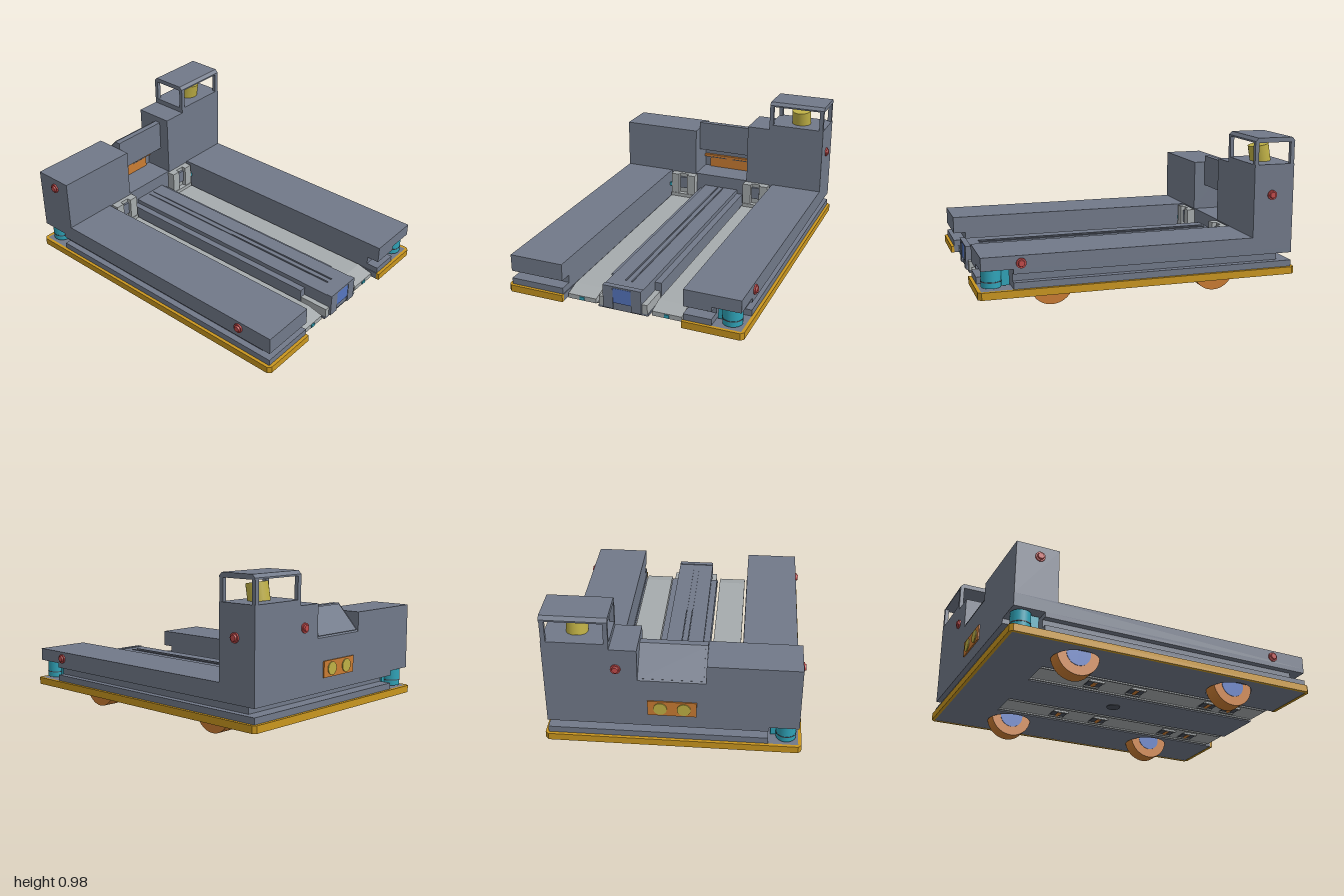
import * as THREE from 'three';

const mat = (name, color) => Object.assign(new THREE.MeshStandardMaterial({ color }), { name });

export function createModel() {
  const root = new THREE.Group();
  root.name = 'automatedPalletTruck';
  const body = mat('slate grey', 0x717989);
  const light = mat('light grey', 0xa6abad);
  const bumper = mat('bumper yellow', 0xc9961f);
  const orange = mat('orange', 0xca7c33);
  const blue = mat('blue', 0x5676c0);
  const cyan = mat('cyan', 0x2fa3b8);
  const red = mat('red', 0xc24a4a);
  const lamp = mat('lamp yellow', 0xbfb045);
  const dark = mat('dark grey', 0x4a505b);

  const add = (name, geo, m, parent = root) => {
    const mesh = new THREE.Mesh(geo, m);
    mesh.name = name;
    parent.add(mesh);
    return mesh;
  };
  // Box given by its limits on each axis
  const box = (name, m, x0, x1, y0, y1, z0, z1) => {
    const b = add(name, new THREE.BoxGeometry(x1 - x0, y1 - y0, z1 - z0), m);
    b.position.set((x0 + x1) / 2, (y0 + y1) / 2, (z0 + z1) / 2);
    return b;
  };
  // Horizontal slab from an [x, z] outline, with optional round holes [x, z, r]
  const slab = (name, m, pts, y0, y1, holes = []) => {
    const s = new THREE.Shape(pts.map(([x, z]) => new THREE.Vector2(x, -z)));
    for (const [x, z, r] of holes) s.holes.push(new THREE.Path().absarc(x, -z, r, 0, Math.PI * 2));
    const g = new THREE.ExtrudeGeometry(s, { depth: y1 - y0, bevelEnabled: false, curveSegments: 24 });
    g.rotateX(-Math.PI / 2);
    const mesh = add(name, g, m);
    mesh.position.y = y0;
    return mesh;
  };
  // Prism from a side profile of [z, y] points, running along x
  const prism = (name, m, pts, x0, x1) => {
    const s = new THREE.Shape(pts.map(([z, y]) => new THREE.Vector2(-z, y)));
    const g = new THREE.ExtrudeGeometry(s, { depth: x1 - x0, bevelEnabled: false });
    g.rotateY(Math.PI / 2);
    const mesh = add(name, g, m);
    mesh.position.x = x0;
    return mesh;
  };
  // U-shaped footprint, open at the front, with optional scanner notches
  const footprint = (w, front, back, notch, ix = 0.395, iz = -0.72) => [
    ...(notch ? [[-0.57, back], [-0.57, -0.79], [-w, -0.79]] : [[-w, back]]),
    [-w, front], [-ix, front], [-ix, iz], [ix, iz], [ix, front],
    ...(notch ? [[0.57, front], [0.57, 0.79], [w, 0.79]] : [[w, front]]),
    [w, back],
  ];

  // Chassis plate with wheel openings
  const wheels = [];
  for (const x of [-0.555, 0.555]) for (const z of [-0.52, 0.53]) wheels.push([x, z]);
  slab('chassisPlate', body, footprint(0.75, 0.98, -0.98, false, 0.39, -0.66), 0.112, 0.155,
    wheels.map(([x, z]) => [x, z, 0.143]));
  box('centreFloor', body, -0.165, 0.165, 0.112, 0.125, -0.67, 0.96);
  const port = add('floorPort', new THREE.CylinderGeometry(0.045, 0.045, 0.006, 24), dark);
  port.position.y = 0.111;

  // Bumper band around the plate
  slab('bumperBand', bumper, [
    [0.39, 0.98], [0.75, 0.98], [0.75, -0.98], [-0.75, -0.98], [-0.75, 0.98], [-0.39, 0.98],
    [-0.39, 1], [-0.75, 1], [-0.77, 0.98], [-0.77, -0.98], [-0.75, -1],
    [0.75, -1], [0.77, -0.98], [0.77, 0.98], [0.75, 1], [0.39, 1],
  ], 0.11, 0.155);

  // Hull layers with the scanning slot between them
  slab('lowerHull', body, footprint(0.75, 0.98, -0.98, true), 0.155, 0.195);
  slab('slotCore', body, footprint(0.71, 0.9, -0.9, true), 0.195, 0.245);
  slab('upperHull', body, footprint(0.75, 0.98, -0.98, true), 0.245, 0.275);
  slab('hullTop', body, footprint(0.75, 0.98, -0.98, false), 0.275, 0.355);

  // Corner scanners, diagonally opposite
  for (const s of [1, -1]) {
    const scanner = new THREE.Group();
    scanner.name = 'scanner';
    const drum = add('scannerDrum', new THREE.CylinderGeometry(0.06, 0.06, 0.105, 28), cyan, scanner);
    drum.position.set(0.675, 0.2175, 0.91);
    const ring = add('scannerRing', new THREE.CylinderGeometry(0.062, 0.062, 0.006, 28), dark, scanner);
    ring.position.set(0.675, 0.2, 0.91);
    const back = add('scannerMount', new THREE.BoxGeometry(0.1, 0.105, 0.1), cyan, scanner);
    back.position.set(0.633, 0.2175, 0.853);
    scanner.rotation.y = s > 0 ? 0 : Math.PI;
    root.add(scanner);
  }

  // Rear housing
  box('rightHousing', body, -0.75, -0.2, 0.355, 0.69, -0.98, -0.715);
  box('innerTower', body, 0.2, 0.36, 0.355, 0.775, -0.98, -0.715);
  box('tower', body, 0.36, 0.75, 0.355, 0.81, -0.98, -0.715);
  prism('consoleHousing', body, [[-0.98, 0.35], [-0.92, 0.35], [-0.92, 0.525], [-0.79, 0.525],
    [-0.79, 0.735], [-0.83, 0.735], [-0.98, 0.57]].reverse(), -0.2, 0.2);
  const screen = box('consoleScreen', body, -0.185, 0.185, -0.003, 0.003, -0.1, 0.1);
  screen.position.set(0, 0.655, -0.907);
  screen.rotation.x = -Math.atan2(0.165, 0.15);
  box('frontPanel', orange, -0.155, 0.155, 0.355, 0.43, -0.92, -0.905);
  box('frontPanelLip', orange, -0.2, 0.2, 0.43, 0.45, -0.92, -0.9);
  for (const s of [-1, 1]) box('lipSlot', dark, s * 0.085 - 0.06, s * 0.085 + 0.06, 0.428, 0.434, -0.904, -0.899);

  // Rear sign with two lamps
  box('rearSign', orange, -0.145, 0.145, 0.33, 0.43, -0.988, -0.98);
  for (const x of [-0.07, 0.07]) {
    const d = add('rearLamp', new THREE.CylinderGeometry(0.04, 0.04, 0.008, 24), lamp);
    d.rotation.x = Math.PI / 2;
    d.position.set(x, 0.38, -0.99);
  }

  // Lidar cage and tilted sensor drum
  for (const x of [0.36, 0.72]) for (const z of [-0.98, -0.74])
    box('cagePost', body, x, x + 0.027, 0.81, 0.95, z, z + 0.025);
  prism('cageRoof', body, [[-0.98, 0.945], [-0.715, 0.945], [-0.715, 0.955], [-0.735, 0.975],
    [-0.96, 0.975], [-0.98, 0.955]].reverse(), 0.36, 0.75);
  const beacon = add('towerSensor', new THREE.CylinderGeometry(0.065, 0.065, 0.11, 28), lamp);
  beacon.position.set(0.56, 0.858, -0.833);
  beacon.rotation.x = 0.17;

  // Emergency buttons
  const button = (x, y, z, axis) => {
    const g = new THREE.Group();
    g.name = 'stopButton';
    const base = add('buttonBase', new THREE.CylinderGeometry(0.03, 0.03, 0.01, 24), red, g);
    base.position.y = 0.005;
    const cap = add('buttonCap', new THREE.CylinderGeometry(0.018, 0.022, 0.01, 24), red, g);
    cap.position.y = 0.014;
    g.position.set(x, y, z);
    g.quaternion.setFromUnitVectors(new THREE.Vector3(0, 1, 0), axis);
    root.add(g);
  };
  for (const s of [-1, 1]) {
    button(s * 0.75, 0.62, -0.835, new THREE.Vector3(s, 0, 0));
    button(s * 0.75, 0.31, 0.745, new THREE.Vector3(s, 0, 0));
  }
  button(0.325, 0.645, -0.98, new THREE.Vector3(0, 0, -1));

  // Wheels with blue hubs
  for (const [x, z] of wheels) {
    const tyre = add('wheelTyre', new THREE.CylinderGeometry(0.136, 0.136, 0.1, 40), orange);
    const hub = add('wheelHub', new THREE.CylinderGeometry(0.077, 0.077, 0.106, 32), blue);
    for (const w of [tyre, hub]) {
      w.rotation.z = Math.PI / 2;
      w.position.set(x, 0.136, z);
    }
  }

  // Centre beam with side rails and blue end cap
  box('centreBeam', body, -0.125, 0.125, 0.125, 0.27, -0.72, 0.965);
  box('beamEndLip', body, -0.125, 0.125, 0.265, 0.275, 0.94, 0.975);
  box('beamEndCap', blue, -0.06, 0.06, 0.165, 0.262, 0.965, 0.972);
  for (const s of [-1, 1]) {
    box('beamEndFrame', body, s * 0.0925 - 0.0325, s * 0.0925 + 0.0325, 0.125, 0.265, 0.96, 0.975);
    box('sideRail', body, s * 0.145 - 0.022, s * 0.145 + 0.022, 0.125, 0.24, -0.72, 0.77);
    box('beamFoot', light, s * 0.142 - 0.017, s * 0.142 + 0.017, 0.125, 0.185, 0.77, 0.96);
    box('topRib', body, s * 0.02 - 0.004, s * 0.02 + 0.004, 0.27, 0.276, -0.7, 0.87);
  }

  // Forks, lift carriages and rollers
  for (const s of [-1, 1]) {
    const span = (name, m, a, b, ...r) => box(name, m, Math.min(s * a, s * b), Math.max(s * a, s * b), ...r);
    prism('fork', light, [[-0.7, 0.12], [0.95, 0.12], [0.95, 0.15], [0.85, 0.175], [-0.7, 0.175]].reverse(),
      s * 0.28 - 0.095, s * 0.28 + 0.095);
    span('forkTipSensor', cyan, 0.265, 0.295, 0.125, 0.145, 0.95, 0.956);
    span('carriagePlate', light, 0.19, 0.375, 0.175, 0.35, -0.715, -0.69);
    for (const x of [0.19, 0.315]) span('carriagePost', light, x, x + 0.06, 0.19, 0.35, -0.69, -0.66);
    span('carriageFoot', light, 0.19, 0.375, 0.175, 0.2, -0.69, -0.655);
    span('carriageLatch', body, 0.255, 0.31, 0.24, 0.325, -0.69, -0.675);
    span('carriageSensor', cyan, 0.375, 0.393, 0.247, 0.272, -0.685, -0.665);
    for (const x of [0.187, 0.367]) span('forkSkirt', light, x - 0.006, x + 0.006, 0.112, 0.122, -0.66, 0.93);
    for (const z of [0.72, 0.55, 0.02, -0.27]) {
      span('rollerWell', dark, 0.235, 0.325, 0.114, 0.12, z - 0.05, z + 0.05);
      for (const x of [0.235, 0.325]) span('rollerBracket', light, x - 0.008, x + 0.008, 0.108, 0.12, z - 0.05, z + 0.05);
      const r = add('forkRoller', new THREE.CylinderGeometry(0.016, 0.016, 0.06, 16), orange);
      r.rotation.z = Math.PI / 2;
      r.position.set(s * 0.28, 0.122, z);
    }
  }
  return root;
}
